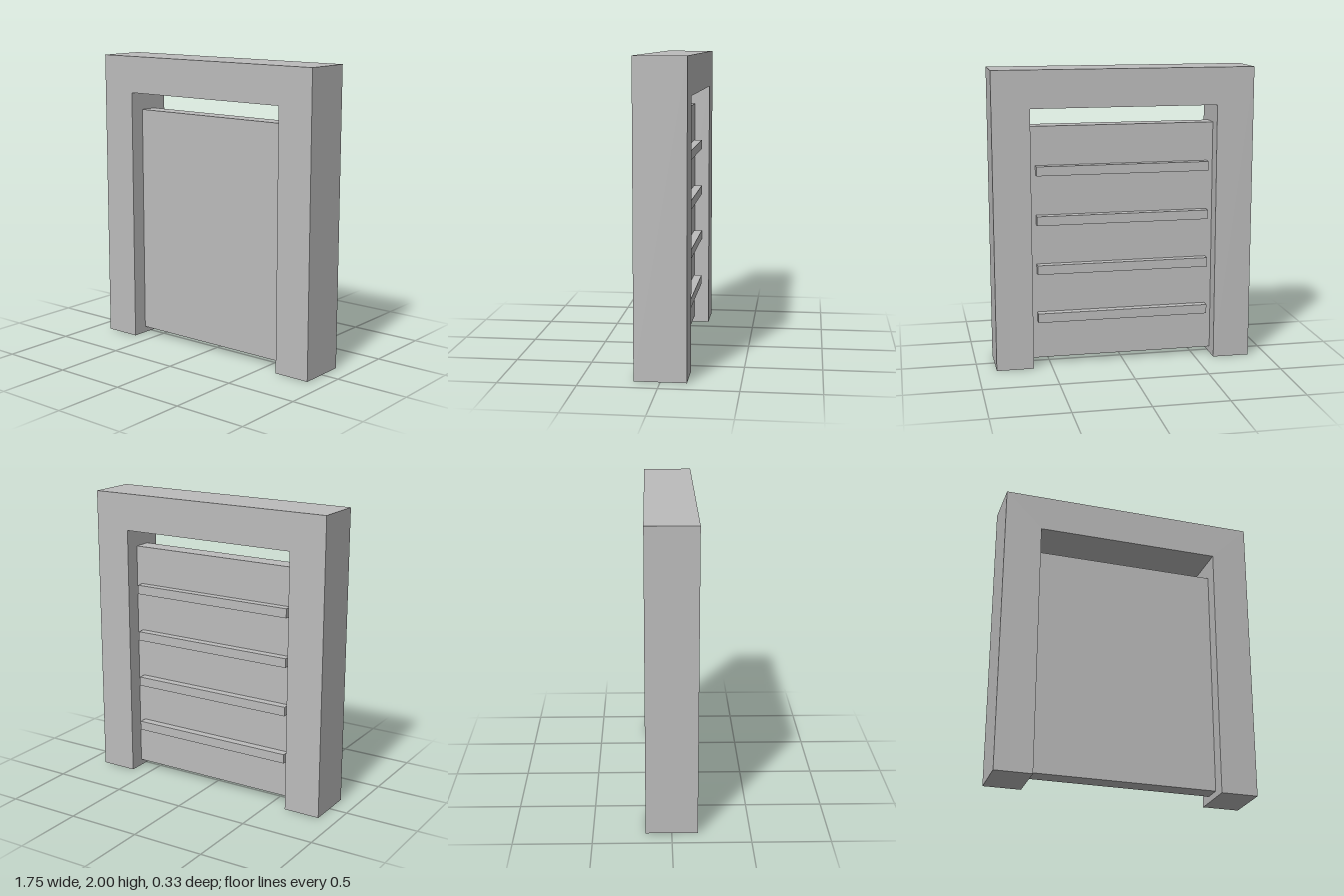
import * as THREE from 'three';

export function createModel() {
  const model = new THREE.Group();
  const grey = new THREE.MeshStandardMaterial({ color: 0xbcbcbc });
  grey.name = 'plain grey';

  const add = (name, geometry, x = 0, y = 0, z = 0) => {
    const mesh = new THREE.Mesh(geometry, grey);
    mesh.name = name;
    mesh.position.set(x, y, z);
    model.add(mesh);
  };

  // Door frame: two posts and a lintel in one piece, open at the bottom
  const outerX = 0.875, innerX = 0.625, lintelY = 1.75, depth = 0.333;
  const outline = new THREE.Shape([
    [-outerX, 0], [-innerX, 0], [-innerX, lintelY], [innerX, lintelY],
    [innerX, 0], [outerX, 0], [outerX, 2], [-outerX, 2],
  ].map(([x, y]) => new THREE.Vector2(x, y)));
  add('frame', new THREE.ExtrudeGeometry(outline, { depth, bevelEnabled: false }), 0, 0, -depth / 2);

  // Door panel, set back from both faces with gaps above and below
  const bottom = 0.042, top = 1.625, thickness = 0.125;
  add('doorPanel', new THREE.BoxGeometry(innerX * 2, top - bottom, thickness), 0, (top + bottom) / 2, 0);

  // Horizontal battens across the back of the panel
  const battenDepth = 0.056;
  for (let i = 1; i <= 4; i++) {
    add(`backBatten${i}`, new THREE.BoxGeometry(1.167, 0.0625, battenDepth),
      0, i / 3, -(thickness + battenDepth) / 2);
  }

  return model;
}
